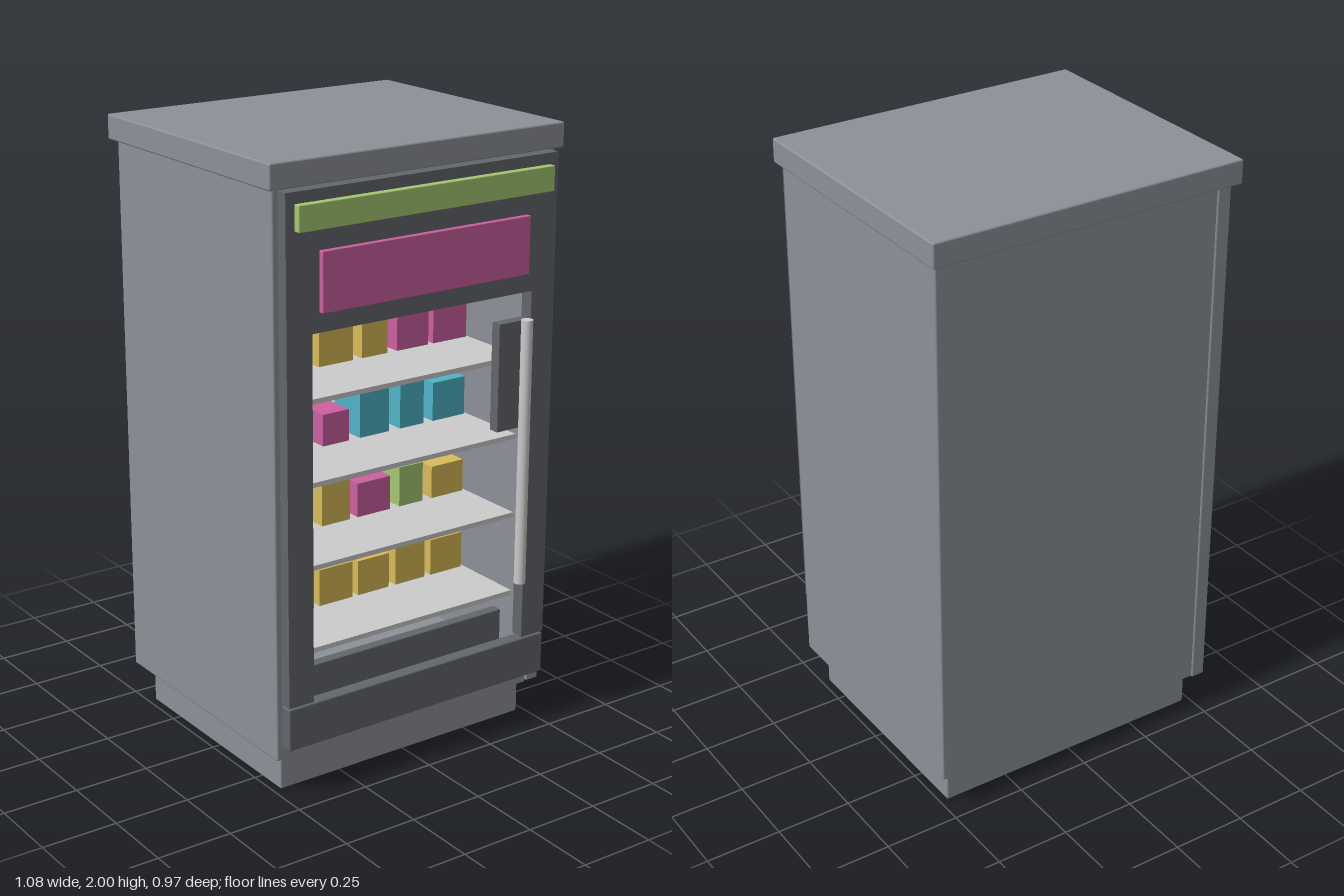
import * as THREE from 'three';
import { RoundedBoxGeometry } from 'three/addons/geometries/RoundedBoxGeometry.js';

const mat = (color) => new THREE.MeshStandardMaterial({ color });
const BODY = mat(0x8c9098), DARK = mat(0x63666c), LIGHT = mat(0xcccccc);
const GOODS = { c: mat(0x4fb4c8), y: mat(0xd8bc58), p: mat(0xcc60a0), g: mat(0xa6c872) };

// Box given by its min and max on each axis, with optional softened edges
function box(parent, name, material, [x0, x1], [y0, y1], [z0, z1], bevel = 0) {
  const size = [x1 - x0, y1 - y0, z1 - z0];
  const geo = bevel ? new RoundedBoxGeometry(...size, 2, bevel) : new THREE.BoxGeometry(...size);
  const mesh = new THREE.Mesh(geo, material);
  mesh.name = name;
  mesh.position.set((x0 + x1) / 2, (y0 + y1) / 2, (z0 + z1) / 2);
  parent.add(mesh);
  return mesh;
}

function subgroup(parent, name) {
  const g = new THREE.Group();
  g.name = name;
  parent.add(g);
  return g;
}

// Each row: shelf top height, then [colour, width, height] for the goods from right to left of the cabinet
const ROWS = [
  [1.25, [['c', 0.12, 0.125], ['y', 0.115, 0.175], ['y', 0.13, 0.155], ['y', 0.1, 0.12], ['p', 0.125, 0.125], ['p', 0.135, 0.16]]],
  [0.985, [['p', 0.09, 0.17], ['c', 0.105, 0.12], ['p', 0.1, 0.105], ['c', 0.115, 0.15], ['c', 0.095, 0.165], ['c', 0.13, 0.13]]],
  [0.715, [['c', 0.11, 0.13], ['c', 0.095, 0.11], ['y', 0.11, 0.16], ['p', 0.13, 0.115], ['g', 0.095, 0.135], ['y', 0.13, 0.11]]],
  [0.44, [['c', 0.1, 0.145], ['y', 0.125, 0.135], ['y', 0.13, 0.125], ['y', 0.125, 0.12], ['y', 0.12, 0.135], ['y', 0.13, 0.125]]],
];

export function createModel() {
  const model = new THREE.Group();
  model.name = 'displayCooler';

  // Cabinet shell
  const shell = subgroup(model, 'cabinet');
  box(shell, 'plinth', BODY, [-0.475, 0.475], [0, 0.125], [-0.41, 0.36], 0.005);
  box(shell, 'topSlab', BODY, [-0.54, 0.54], [1.92, 2], [-0.485, 0.43], 0.006);
  for (const s of [-1, 1]) {
    const xs = [s * 0.47, s * 0.52].sort((a, b) => a - b);
    box(shell, 'sidePanel', BODY, xs, [0.13, 1.92], [-0.46, 0.41], 0.006);
  }
  box(shell, 'backPanel', BODY, [-0.472, 0.472], [0.135, 1.92], [-0.455, -0.41]);
  box(shell, 'floorPanel', BODY, [-0.472, 0.472], [0.124, 0.19], [-0.44, 0.4]);
  box(shell, 'ceilingPanel', BODY, [-0.472, 0.472], [1.86, 1.92], [-0.44, 0.4]);

  // Front frame around the opening
  const frame = subgroup(model, 'frontFrame');
  box(frame, 'header', DARK, [-0.5, 0.5], [1.49, 1.915], [0.405, 0.45]);
  box(frame, 'bottomRail', DARK, [-0.5, 0.5], [0.175, 0.315], [0.405, 0.45], 0.005);
  for (const s of [-1, 1]) {
    const xs = [s * 0.41, s * 0.5].sort((a, b) => a - b);
    box(frame, 'jamb', DARK, xs, [0.32, 1.49], [0.405, 0.45]);
  }
  box(frame, 'kickPanel', DARK, [-0.39, 0.39], [0.19, 0.395], [0.33, 0.365], 0.004);

  // Coloured panels on the header
  box(model, 'lightStrip', GOODS.g, [-0.47, 0.47], [1.8, 1.88], [0.448, 0.473], 0.003);
  box(model, 'signPanel', GOODS.p, [-0.385, 0.385], [1.55, 1.735], [0.448, 0.467], 0.003);

  // Handle bar with its backing plate
  box(model, 'handlePlate', DARK, [0.29, 0.412], [1.05, 1.4], [0.41, 0.446]);
  const handle = new THREE.Mesh(new THREE.CylinderGeometry(0.019, 0.019, 0.88, 12), LIGHT);
  handle.name = 'handleBar';
  handle.position.set(0.384, 0.965, 0.464);
  model.add(handle);

  // Shelves and the boxes standing on them
  for (const [y, goods] of ROWS) {
    const row = subgroup(model, 'shelfRow');
    box(row, 'shelf', LIGHT, [-0.45, 0.45], [y - 0.016, y], [-0.41, 0.345]);
    goods.forEach(([key, w, h], i) => {
      const x = -0.375 + i * 0.15;
      box(row, 'goodsBox', GOODS[key], [x - w / 2, x + w / 2], [y, y + h], [-0.05, 0.09]);
    });
  }
  return model;
}
